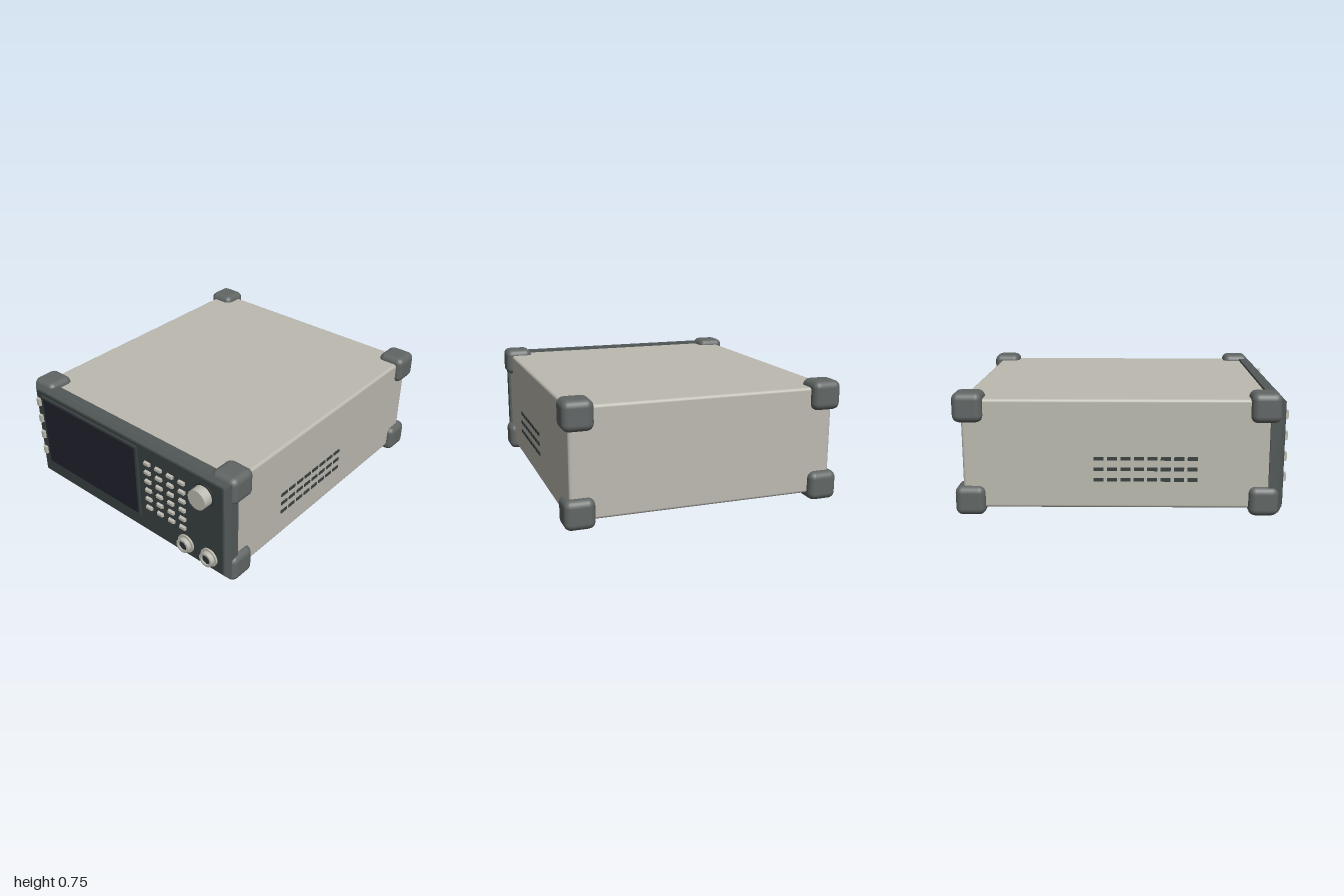
import * as THREE from 'three';
import { RoundedBoxGeometry } from 'three/addons/geometries/RoundedBoxGeometry.js';

const material = (name, color) => {
  const m = new THREE.MeshStandardMaterial({ color });
  m.name = name;
  return m;
};

export function createModel() {
  const root = new THREE.Group();
  root.name = 'benchInstrument';

  const casing = material('warmGrey', 0xbcbab0);
  const rubber = material('guardGrey', 0x616665);
  const bezelGrey = material('bezelGrey', 0x525958);
  const panelGrey = material('panelGrey', 0x394140);
  const dark = material('darkRubber', 0x2b3332);
  const glass = material('screenGlass', 0x20202c);

  const add = (name, geometry, mat, x, y, z, parent = root) => {
    const mesh = new THREE.Mesh(geometry, mat);
    mesh.name = name;
    mesh.position.set(x, y, z);
    parent.add(mesh);
    return mesh;
  };
  const group = (name) => {
    const g = new THREE.Group();
    g.name = name;
    root.add(g);
    return g;
  };
  // Box whose front face is drawn in by an inset, as a chamfer
  const taperedBox = (w, h, d, inset) => {
    const g = new THREE.BoxGeometry(w, h, d);
    const p = g.attributes.position;
    for (let i = 0; i < p.count; i++) {
      if (p.getZ(i) > 0) {
        p.setX(i, p.getX(i) - Math.sign(p.getX(i)) * inset);
        p.setY(i, p.getY(i) - Math.sign(p.getY(i)) * inset);
      }
    }
    g.computeVertexNormals();
    return g;
  };
  // Disc or barrel facing forward
  const barrel = (r, depth, sides = 32, rFront = r) =>
    new THREE.CylinderGeometry(rFront, r, depth, sides).rotateX(Math.PI / 2);

  // Main case
  add('case', new RoundedBoxGeometry(1.62, 0.655, 1.81, 2, 0.018), casing, 0, 0.3775, -0.045);

  // Front bezel with chamfered rim
  add('bezelBody', new THREE.BoxGeometry(1.65, 0.69, 0.06), bezelGrey, 0, 0.375, 0.875);
  add('bezelRim', taperedBox(1.65, 0.69, 0.025, 0.03), bezelGrey, 0, 0.375, 0.9175);
  add('frontPanel', taperedBox(1.58, 0.63, 0.01, 0.005), panelGrey, 0, 0.38, 0.93);

  // Screen and its raised surround
  add('screenSurround', taperedBox(0.875, 0.52, 0.01, 0.006), panelGrey, -0.3025, 0.41, 0.938);
  add('screen', new THREE.BoxGeometry(0.83, 0.48, 0.008), glass, -0.3025, 0.41, 0.943);

  // Soft keys beside the screen
  const softKeys = group('softKeys');
  for (const y of [0.235, 0.36, 0.485, 0.61]) {
    add('softKey', taperedBox(0.03, 0.056, 0.02, 0.003), casing, -0.765, y, 0.942, softKeys);
  }

  // Keypad, four columns by six rows
  const keypad = group('keypad');
  for (let c = 0; c < 4; c++) {
    for (let r = 0; r < 6; r++) {
      add('key', taperedBox(0.048, 0.024, 0.02, 0.003), casing,
        0.215 + c * 0.091, 0.26 + r * 0.0653, 0.942, keypad);
    }
  }

  // Rotary knob with dark collar
  const knob = group('knob');
  add('knobCollar', barrel(0.073, 0.012), dark, 0.654, 0.586, 0.938, knob);
  add('knobBody', barrel(0.066, 0.07, 32, 0.063), casing, 0.654, 0.586, 0.965, knob);

  // Two ring connectors with hexagonal sockets
  const ringProfile = [[0.032, 0.93], [0.06, 0.93], [0.06, 0.946], [0.047, 0.946],
    [0.047, 0.974], [0.032, 0.974], [0.032, 0.93]];
  const ring = new THREE.LatheGeometry(
    ringProfile.flatMap(([r, z]) => [new THREE.Vector2(r, z)]), 32)
    .rotateX(Math.PI / 2).toNonIndexed();
  ring.computeVertexNormals();
  for (const x of [0.507, 0.688]) {
    const connector = group('connector');
    add('connectorRing', ring, casing, x, 0.148, 0, connector);
    add('connectorSocket', barrel(0.034, 0.03, 6), dark, x, 0.148, 0.95, connector);
  }

  // Corner guards at all eight corners
  const guards = group('cornerGuards');
  const guard = new RoundedBoxGeometry(0.18, 0.177, 0.178, 3, 0.042);
  for (const x of [-0.757, 0.757]) {
    for (const y of [0.0965, 0.6565]) {
      for (const z of [-0.909, 0.819]) add('cornerGuard', guard, rubber, x, y, z, guards);
    }
  }

  // Rubber feet
  const feet = group('feet');
  const foot = taperedBox(0.155, 0.185, 0.055, 0.01).rotateX(Math.PI / 2);
  for (const x of [-0.545, 0.545]) {
    for (const z of [-0.65, 0.573]) add('foot', foot, dark, x, 0.0275, z, feet);
  }

  // Vent slots on both sides
  const vents = group('vents');
  const slot = new THREE.BoxGeometry(0.008, 0.021, 0.059);
  for (const x of [-0.811, 0.811]) {
    for (const y of [0.225, 0.289, 0.353]) {
      for (let i = 0; i < 8; i++) add('ventSlot', slot, panelGrey, x, y, -0.152 + i * 0.0787, vents);
    }
  }

  return root;
}
